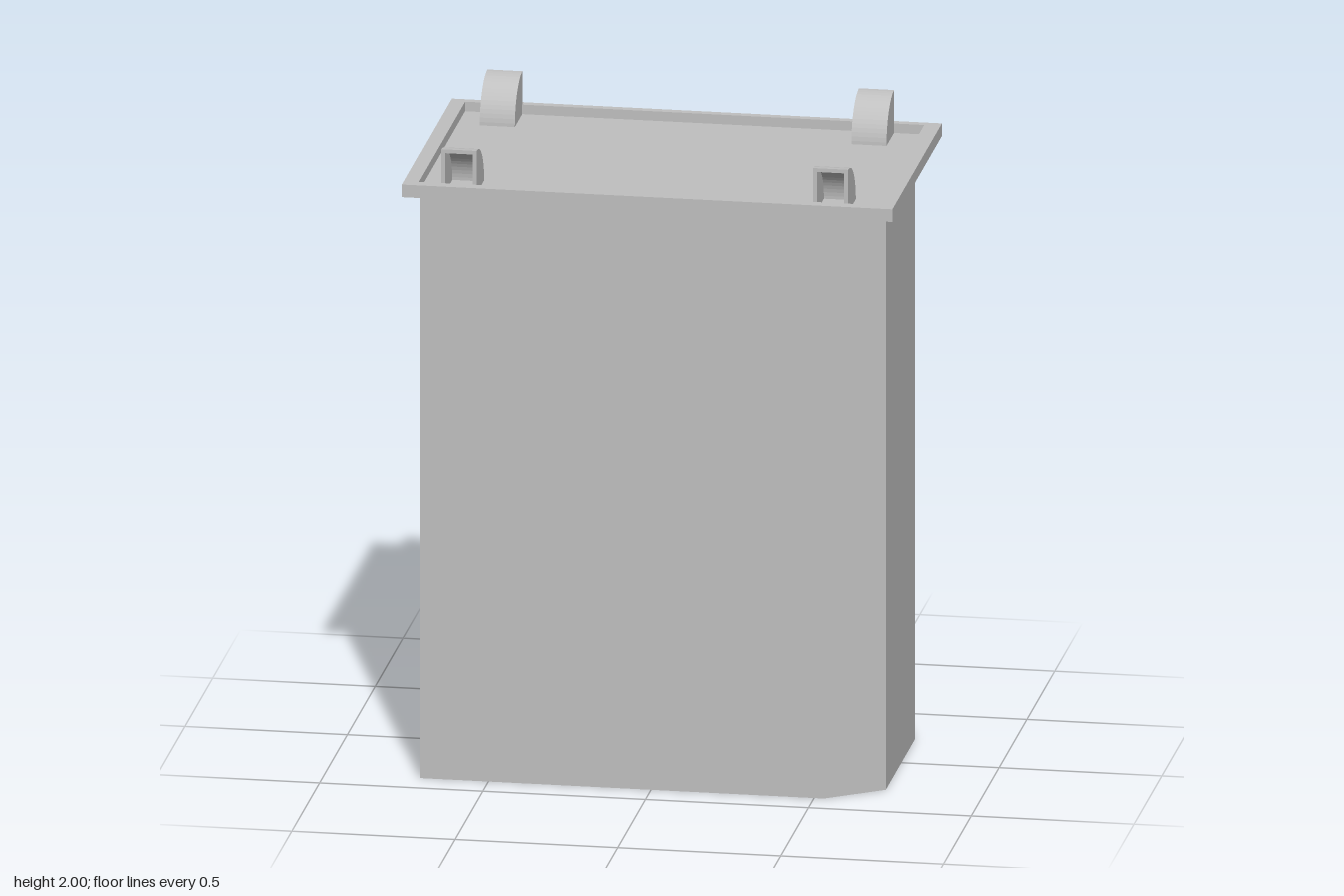
import * as THREE from 'three';

export function createModel() {
  const model = new THREE.Group();
  const stone = new THREE.MeshStandardMaterial({ color: 0xc0c0c0, side: THREE.DoubleSide });
  stone.name = 'grey stone';

  const add = (name, geometry, parent = model) => {
    const mesh = new THREE.Mesh(geometry, stone);
    mesh.name = name;
    parent.add(mesh);
    return mesh;
  };
  const group = (name) => {
    const g = new THREE.Group();
    g.name = name;
    model.add(g);
    return g;
  };
  // Box given by its limits on each axis
  const box = (name, x0, x1, y0, y1, z0, z1, parent) => {
    const mesh = add(name, new THREE.BoxGeometry(x1 - x0, y1 - y0, z1 - z0), parent);
    mesh.position.set((x0 + x1) / 2, (y0 + y1) / 2, (z0 + z1) / 2);
    return mesh;
  };
  const rect = (Type, x0, x1, y0, y1) => {
    const p = new Type();
    p.moveTo(x0, y0).lineTo(x1, y0).lineTo(x1, y1).lineTo(x0, y1).closePath();
    return p;
  };

  const wallTop = 1.855, backZ = -0.37, recessZ = -0.28;
  const rx0 = -0.435, rx1 = 0.42, ry0 = 0.48, ry1 = 1.635;

  // Outer walls, open underneath, with two cut corners; the last run leaves the back open
  const plan = [[0.49, backZ], [0.7, -0.24], [0.7, 0.28], [0.53, 0.4], [-0.71, 0.4], [-0.71, backZ]];
  const walls = [];
  for (let i = 0; i < plan.length - 1; i++) {
    const [bx, bz] = plan[i], [ax, az] = plan[i + 1];
    walls.push(ax, 0, az, bx, 0, bz, bx, wallTop, bz, ax, 0, az, bx, wallTop, bz, ax, wallTop, az);
  }
  const wallGeo = new THREE.BufferGeometry();
  wallGeo.setAttribute('position', new THREE.Float32BufferAttribute(walls, 3));
  wallGeo.computeVertexNormals();
  add('outerWalls', wallGeo);

  // Facade wall with the tall recess cut out (drawn mirrored, then turned to face -z)
  const facade = rect(THREE.Shape, -0.49, 0.71, 0, wallTop);
  facade.holes.push(rect(THREE.Path, -rx1, -rx0, ry0, ry1));
  add('facadeWall', new THREE.ShapeGeometry(facade).rotateY(Math.PI).translate(0, 0, backZ));

  // Recess lining
  const recess = group('facadeRecess');
  const inZ = backZ + 0.002;
  box('recessBack', rx0, rx1, ry0, ry1, recessZ, recessZ + 0.01, recess);
  box('recessJamb', rx0 - 0.01, rx0, ry0, ry1, inZ, recessZ, recess);
  box('recessJamb', rx1, rx1 + 0.01, ry0, ry1, inZ, recessZ, recess);
  box('recessSoffit', rx0, rx1, ry1, ry1 + 0.01, inZ, recessZ, recess);
  box('recessFloor', rx0, rx1, ry0 - 0.01, ry0, inZ, recessZ, recess);
  box('recessLedge', rx0 - 0.015, rx1 + 0.015, 0.468, 0.482, -0.387, backZ, recess);
  for (const x of [0.18, -0.22]) box('pilaster', x - 0.054, x + 0.054, ry0, ry1, -0.34, recessZ, recess);

  // Grid of glazing bars standing on a wall plane
  const windowGrid = (x0, x1, y0, y1, cols, rows, z, parent) => {
    const t = 0.005, depth = 0.01;
    for (let c = 0; c <= cols; c++) {
      const x = x0 + t + ((x1 - x0 - 2 * t) * c) / cols;
      box('glazingBar', x - t, x + t, y0, y1, z - depth, z, parent);
    }
    for (let r = 0; r <= rows; r++) {
      const y = y0 + t + ((y1 - y0 - 2 * t) * r) / rows;
      box('glazingBar', x0, x1, y - t, y + t, z - depth + 0.001, z, parent);
    }
  };

  // Three bays of windows with sills and heads
  const windows = group('bayWindows');
  for (const [x0, x1, cols] of [[0.234, 0.42, 2], [-0.166, 0.126, 3], [-0.435, -0.274, 2]]) {
    windowGrid(x0, x1, 1.05, 1.435, cols, 4, recessZ, windows);
    windowGrid(x0, x1, 0.79, 0.875, cols, 1, recessZ, windows);
    windowGrid(x0, x1, ry0, 0.77, cols, 3, recessZ, windows);
    for (const y of [1.435, 1.035, 0.875, 0.77]) {
      box('windowLedge', x0, x1, y, y + 0.018, recessZ - 0.028, recessZ, windows);
    }
  }

  // Ground-floor window and plain panel
  windowGrid(0.204, 0.334, 0.115, 0.42, 2, 4, backZ, group('groundWindow'));
  box('groundPanel', -0.34, -0.21, 0.11, 0.425, backZ - 0.008, backZ);

  // Entrance, centred on cx
  const door = group('entrance'), cx = 0.012;
  const doorBox = (name, x0, x1, y0, y1, out) =>
    box(name, cx + x0, cx + x1, y0, y1, backZ - out, backZ, door);
  doorBox('doorstep', -0.088, 0.088, 0.012, 0.026, 0.085);
  doorBox('cornice', -0.1, 0.1, 0.342, 0.356, 0.04);
  doorBox('frieze', -0.086, 0.086, 0.295, 0.342, 0.028);
  doorBox('friezePanel', -0.055, 0.055, 0.305, 0.332, 0.032);
  doorBox('architrave', -0.09, 0.09, 0.268, 0.295, 0.034);
  doorBox('transom', -0.064, 0.064, 0.235, 0.245, 0.016);
  doorBox('doorMeetingStile', -0.005, 0.005, 0.026, 0.24, 0.014);
  for (const s of [-1, 1]) {
    const pair = (name, a, b, y0, y1, out) =>
      doorBox(name, Math.min(s * a, s * b), Math.max(s * a, s * b), y0, y1, out);
    pair('doorPost', 0.064, 0.084, 0.02, 0.268, 0.03);
    pair('baseBlock', 0.09, 0.132, 0.018, 0.056, 0.036);
    pair('doorLeaf', 0.005, 0.064, 0.026, 0.235, 0.005);
    pair('doorPanel', 0.014, 0.054, 0.05, 0.12, 0.01);
    pair('doorPanel', 0.014, 0.054, 0.135, 0.222, 0.01);
  }

  // Overhanging roof tray with a raised rim
  const roof = group('roof');
  box('roofDeck', -0.755, 0.75, wallTop, 1.865, -0.435, 0.455, roof);
  const rim = rect(THREE.Shape, -0.755, 0.75, -0.455, 0.435);
  rim.holes.push(rect(THREE.Path, -0.71, 0.7, -0.42, 0.41));
  const rimGeo = new THREE.ExtrudeGeometry(rim, { depth: 0.03, bevelEnabled: false });
  add('roofRim', rimGeo.rotateX(-Math.PI / 2).translate(0, 1.865, 0), roof);

  // Hollow quarter-round hoods, open to the outside
  const R = 0.138, T = 0.012, W = 0.108;
  const cheek = new THREE.Shape();
  cheek.moveTo(0, 0).lineTo(R, 0).absarc(0, 0, R, 0, Math.PI / 2, false).lineTo(0, 0);
  const shell = new THREE.Shape();
  shell.moveTo(R, 0).absarc(0, 0, R, 0, Math.PI / 2, false);
  shell.lineTo(0, R - T).absarc(0, 0, R - T, Math.PI / 2, 0, true);
  const extrude = (shape, depth, z) =>
    new THREE.ExtrudeGeometry(shape, { depth, bevelEnabled: false, curveSegments: 8 }).translate(0, 0, z);
  const shellGeo = extrude(shell, W - 2 * T, -W / 2 + T);
  const cheekGeos = [extrude(cheek, T, -W / 2), extrude(cheek, T, W / 2 - T)];
  for (const x of [-0.588, 0.553]) {
    for (const s of [1, -1]) {
      const hood = group('roofHood');
      add('hoodShell', shellGeo, hood);
      for (const g of cheekGeos) add('hoodCheek', g, hood);
      hood.rotation.y = (s * Math.PI) / 2;
      hood.position.set(x, 1.862, s > 0 ? 0.413 : -0.413);
    }
  }
  return model;
}
